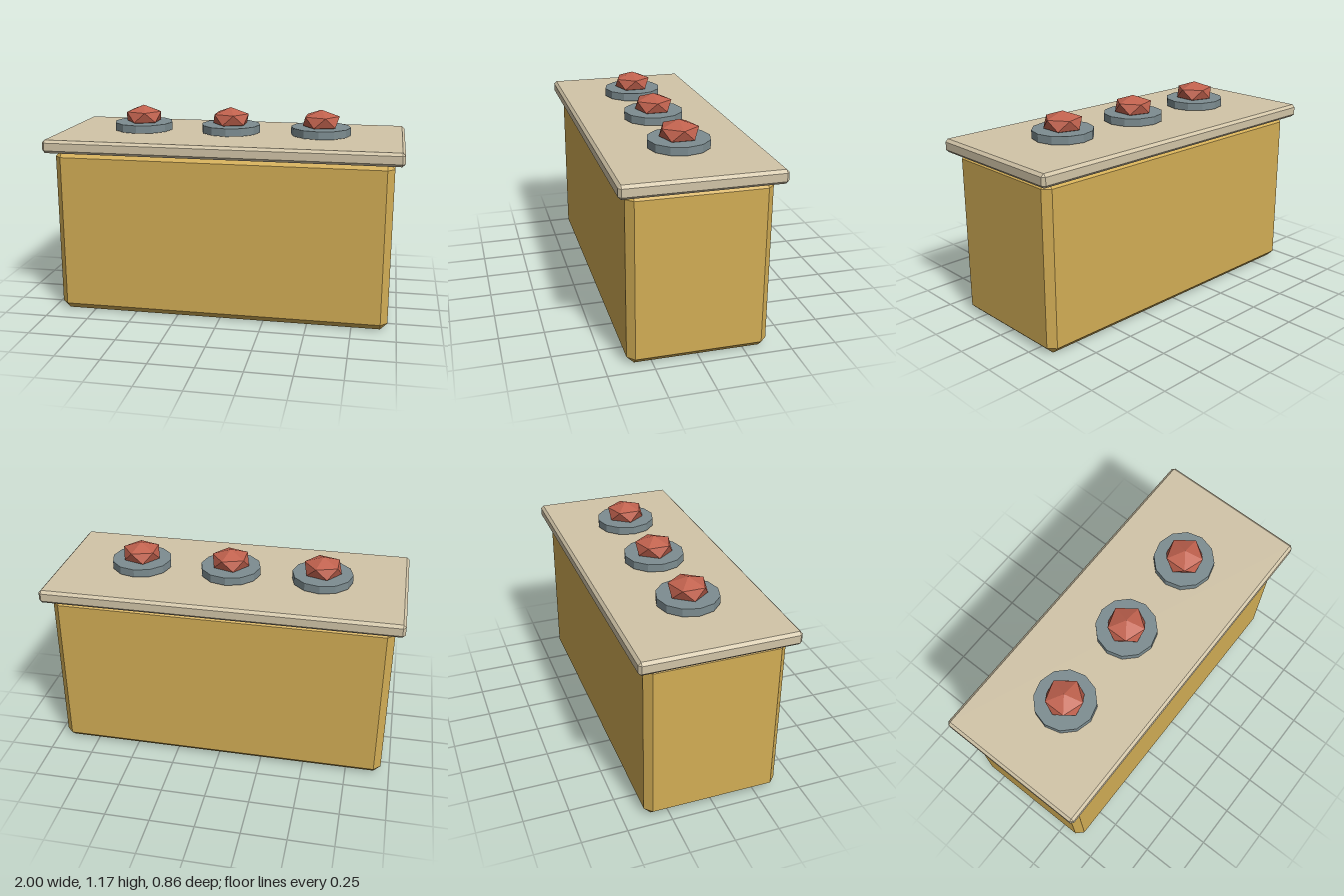
import * as THREE from 'three';
import { ConvexGeometry } from 'three/addons/geometries/ConvexGeometry.js';

// Box with every edge and corner cut by c; w, h, d are full sizes
function chamferBox(w, h, d, c) {
  const half = [w / 2, h / 2, d / 2];
  const points = [];
  for (const sx of [-1, 1]) for (const sy of [-1, 1]) for (const sz of [-1, 1]) {
    for (let axis = 0; axis < 3; axis++) {
      const p = half.map((v, i) => (i === axis ? v : v - c));
      points.push(new THREE.Vector3(sx * p[0], sy * p[1], sz * p[2]));
    }
  }
  return new ConvexGeometry(points);
}

// Flattened icosahedron standing on a tip, upper ring pointing to +x
function gemGeometry(radius, halfHeight) {
  const ringY = halfHeight / Math.sqrt(5);
  const points = [new THREE.Vector3(0, halfHeight, 0), new THREE.Vector3(0, -halfHeight, 0)];
  for (let i = 0; i < 5; i++) {
    const a = (i / 5) * Math.PI * 2;
    const x = radius * Math.cos(a), z = radius * Math.sin(a);
    points.push(new THREE.Vector3(x, ringY, z), new THREE.Vector3(-x, -ringY, z));
  }
  return new ConvexGeometry(points);
}

export function createModel() {
  const model = new THREE.Group();
  model.name = 'counter';
  const material = (name, color) => {
    const m = new THREE.MeshStandardMaterial({ color, flatShading: true });
    m.name = name;
    return m;
  };
  const gold = material('ochre', 0xd2ad55);
  const cream = material('cream', 0xd2c5a8);
  const slate = material('slate', 0x7d8d91);
  const red = material('terracotta', 0xc1624e);

  const add = (name, geometry, mat, x, y) => {
    const mesh = new THREE.Mesh(geometry, mat);
    mesh.name = name;
    mesh.position.set(x, y, 0);
    model.add(mesh);
  };

  // Body and overhanging top
  add('body', chamferBox(1.9, 0.955, 0.763, 0.039), gold, 0, 0.4775);
  add('counterTop', chamferBox(2, 0.075, 0.858, 0.0155), cream, 0, 0.9835);

  // Three plates, each with a faceted piece
  const plate = new THREE.CylinderGeometry(0.171, 0.171, 0.045, 12);
  const gem = gemGeometry(0.105, 0.065);
  [-0.524, 0, 0.524].forEach((x, i) => {
    add(`plate${i + 1}`, plate, slate, x, 1.0505);
    add(`facetedPiece${i + 1}`, gem, red, x, 1.106);
  });
  return model;
}
